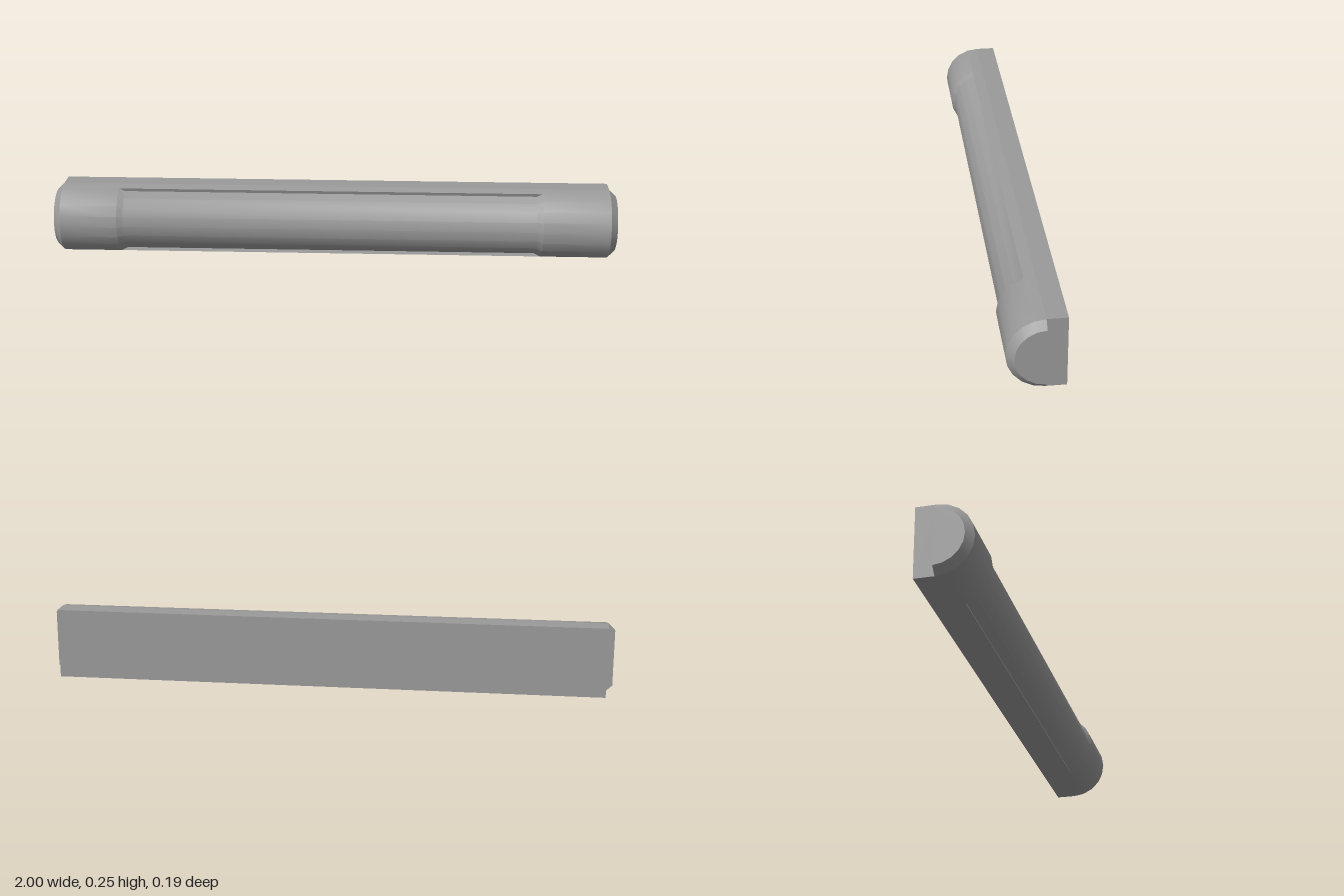
import * as THREE from 'three';
import { toCreasedNormals } from 'three/addons/utils/BufferGeometryUtils.js';

const R = 0.1245;      // radius of the half-round bar
const GROOVE = 0.113;  // radius inside the recessed grip
const BACK = -0.028;   // plane where the half-round meets the backing
const SEGS = 10;

// Half-round section at x, from top over the front to the bottom.
// r is the outer radius, g the radius between the two ledges.
function section(x, r, g) {
  const at = (rad, i) => {
    const a = (i * Math.PI) / SEGS;
    return new THREE.Vector3(x, R + rad * Math.cos(a), BACK + rad * Math.sin(a));
  };
  const ring = [at(r, 0), at(r, 1)];
  for (let i = 1; i < SEGS; i++) ring.push(at(g, i));
  ring.push(at(r, SEGS - 1), at(r, SEGS));
  return ring;
}

// Skin a row of closed sections and cap both ends
function loft(rings) {
  const pos = [];
  const area = new THREE.Triangle();
  const tri = (a, b, c) => {
    if (area.set(a, b, c).getArea() > 1e-9) for (const p of [a, b, c]) pos.push(p.x, p.y, p.z);
  };
  const n = rings[0].length;
  for (let i = 0; i < rings.length - 1; i++) {
    const p = rings[i], q = rings[i + 1];
    for (let j = 0; j < n; j++) {
      const k = (j + 1) % n;
      tri(p[j], p[k], q[k]);
      tri(p[j], q[k], q[j]);
    }
  }
  const first = rings[0], last = rings[rings.length - 1];
  for (let j = 1; j < n - 1; j++) {
    tri(last[0], last[j], last[j + 1]);
    tri(first[0], first[j + 1], first[j]);
  }
  const geo = new THREE.BufferGeometry();
  geo.setAttribute('position', new THREE.Float32BufferAttribute(pos, 3));
  return toCreasedNormals(geo, Math.PI / 6);
}

export function createModel() {
  const group = new THREE.Group();
  group.name = 'halfRoundBar';
  const material = new THREE.MeshStandardMaterial({ color: 0x9a9a9a });

  // Half-round front with chamfered ends and a shallow recessed grip
  const stations = [
    [-1, 0.1, 0.1], [-0.975, R, R],
    [-0.772, R, R], [-0.751, R, GROOVE],
    [0.717, R, GROOVE], [0.738, R, R],
    [0.975, R, R], [1, 0.1, 0.1],
  ];
  const front = new THREE.Mesh(loft(stations.map((s) => section(...s))), material);
  front.name = 'roundedFront';
  group.add(front);

  // Flat backing block, slightly shorter than the front
  const depth = 0.068;
  const back = new THREE.Mesh(new THREE.BoxGeometry(1.95, 2 * R, depth), material);
  back.position.set(0, R, BACK - depth / 2);
  back.name = 'backingBlock';
  group.add(back);

  return group;
}
